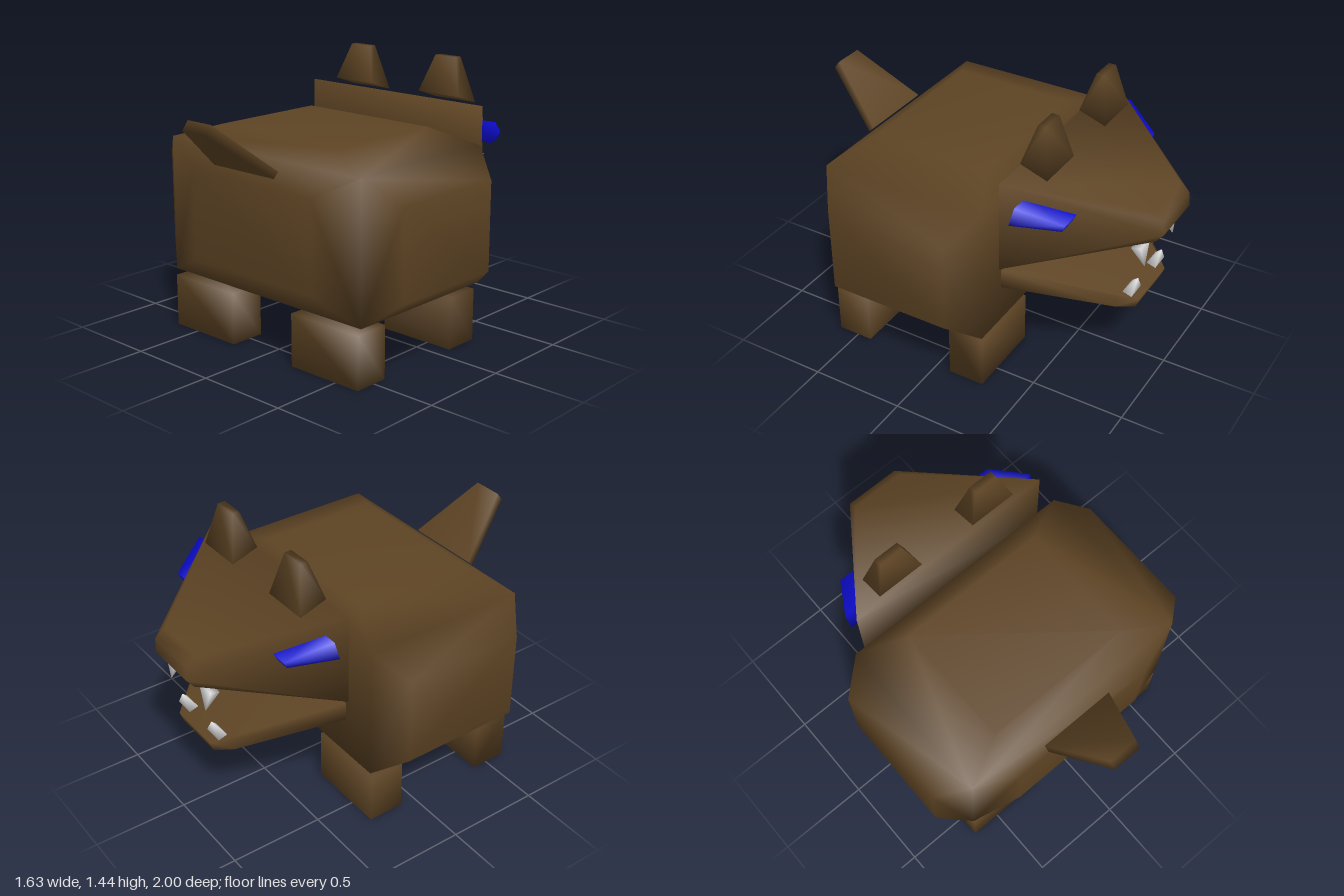
import * as THREE from 'three';
import { ConvexGeometry } from 'three/addons/geometries/ConvexGeometry.js';
import { mergeVertices } from 'three/addons/utils/BufferGeometryUtils.js';

export function createModel() {
  const model = new THREE.Group();
  const material = (name, color) => {
    const m = new THREE.MeshStandardMaterial({ color });
    m.name = name;
    return m;
  };
  const fur = material('brownFur', 0x5e4424);
  const blue = material('eyeBlue', 0x0d0dd8);
  const ivory = material('toothWhite', 0xe8e8e8);

  // Smooth-shaded solid wrapped around a few corner points
  function solid(name, points, mat) {
    const geo = new ConvexGeometry(points.map(p => new THREE.Vector3(...p)));
    geo.deleteAttribute('normal');
    const smooth = mergeVertices(geo, 1e-4);
    smooth.computeVertexNormals();
    const mesh = new THREE.Mesh(smooth, mat);
    mesh.name = name;
    model.add(mesh);
    return mesh;
  }
  // Repeat points on both sides of the plane x = centre
  const mirror = (points, centre = 0) =>
    points.flatMap(([x, y, z]) => [[centre + x, y, z], [centre - x, y, z]]);

  // Body: a box with pulled-in corners
  const body = [[0.41, 0.91, 0.69], [0.41, 0.44, 0.69]];
  for (const z of [-0.17, 0.49])
    body.push([0.41, 1.12, z], [0.815, 0.91, z], [0.815, 0.44, z]);
  for (const z of [-0.29, 0.61])
    body.push([0.655, 1.04, z], [0.66, 0.315, z]);
  solid('body', mirror(body), fur);

  // Legs
  for (const [side, x0, x1] of [['left', 0.205, 0.645], ['right', -0.66, -0.22]]) {
    for (const [end, z0, z1] of [['front', -0.28, -0.085], ['back', 0.42, 0.615]]) {
      const corners = [];
      for (const x of [x0, x1]) for (const y of [0, 0.28]) for (const z of [z0, z1])
        corners.push([x, y, z]);
      solid(`${side}${end}Leg`, corners, fur);
    }
  }

  // Tail: a tapered slab rising away from the body
  solid('tail', mirror([
    [0.21, 1.0, 0.665], [0.21, 0.97, 0.695],
    [0.08, 1.255, 0.965], [0.08, 1.21, 1.0],
  ], -0.03), fur);

  // Head: a wedge with a blunt snout
  solid('head', [
    ...mirror([[0.59, 1.225, -0.36], [0.59, 0.74, -0.36]], 0.02),
    ...mirror([
      [0.15, 1.01, -0.94], [0.15, 0.965, -0.995], [0.15, 0.89, -1.0], [0.15, 0.84, -0.96],
      [0.235, 1.0, -0.865], [0.235, 0.85, -0.865],
    ]),
  ], fur);

  // Open lower jaw
  solid('lowerJaw', [
    ...mirror([[0.57, 0.72, -0.36], [0.57, 0.62, -0.36]], 0.02),
    ...mirror([
      [0.235, 0.505, -0.81], [0.235, 0.44, -0.81],
      [0.15, 0.465, -0.9], [0.15, 0.41, -0.88],
    ]),
  ], fur);

  for (const s of [1, -1]) {
    const side = s > 0 ? 'left' : 'right';

    // Ears: tapered blocks on the sloping top of the head
    const ear = mirror([
      [0.132, 1.25, -0.375], [0.132, 1.2, -0.52],
      [0.067, 1.44, -0.43], [0.067, 1.44, -0.47],
    ], 0.017 + s * 0.295);
    solid(side + 'Ear', ear, fur);

    // Eyes: slanted wedges set into the sides of the head
    const outer = [
      [0.605, 1.13, -0.45], [0.605, 1.025, -0.42],
      [0.49, 1.0, -0.64], [0.49, 1.035, -0.655],
    ];
    const eye = outer.flatMap(([x, y, z]) =>
      [0, 0.12].map(d => [0.022 + s * (x - d), y, z]));
    solid(side + 'Eye', eye, blue);

    // Teeth: four-sided spikes
    const tooth = (name, cx, yBack, yFront, zBack, zFront, tip) => solid(name, [
      [cx - 0.055, yBack, zBack], [cx + 0.055, yBack, zBack],
      [cx - 0.055, yFront, zFront], [cx + 0.055, yFront, zFront],
      [cx, ...tip],
    ], ivory);
    tooth(side + 'UpperTooth', s * 0.165, 0.81, 0.822, -0.865, -0.915, [0.685, -0.92]);
    tooth(side + 'LowerTooth', s * 0.14, 0.515, 0.5, -0.825, -0.875, [0.585, -0.88]);
  }
  return model;
}
